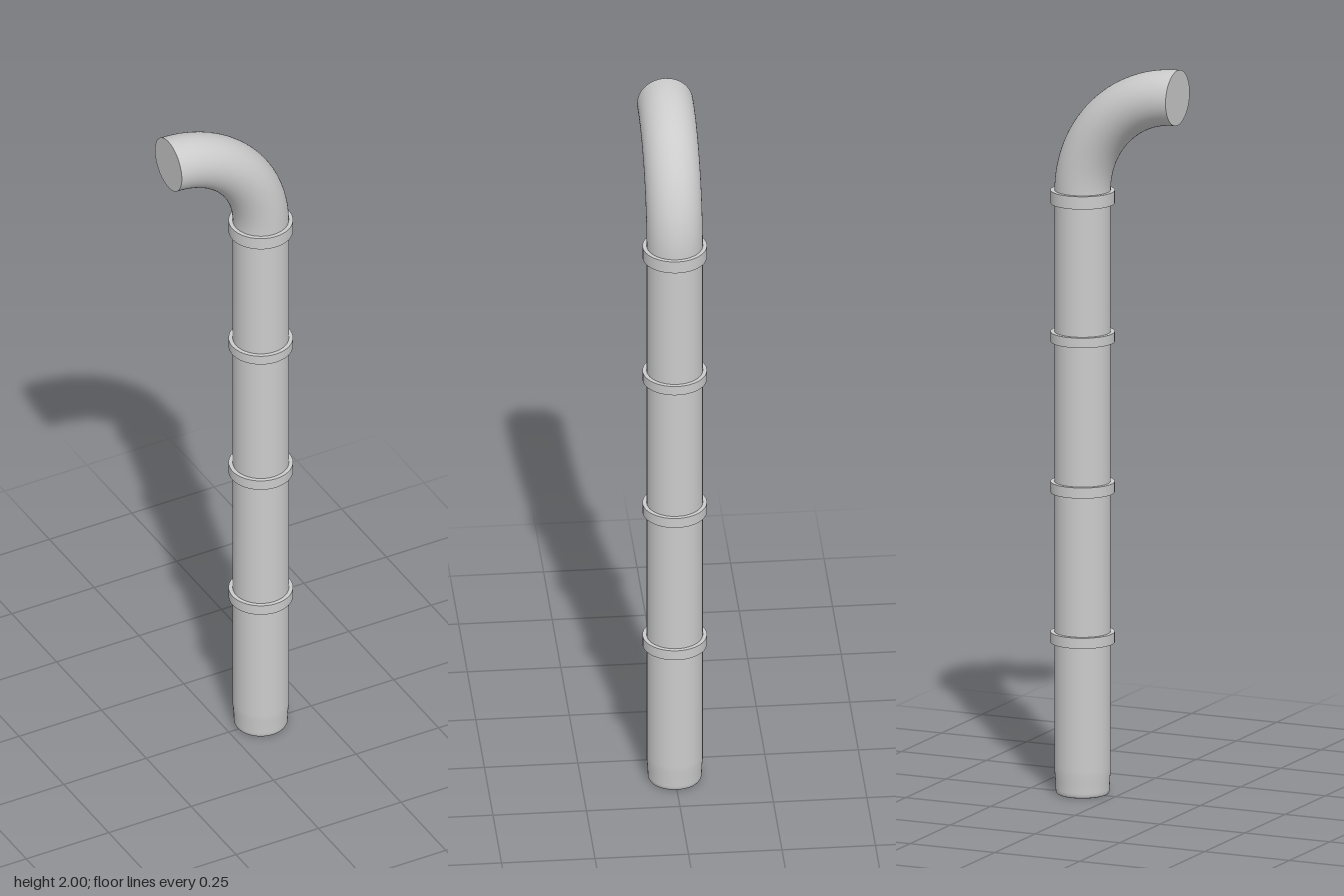
import * as THREE from 'three';

const PIPE_X = 0.097;   // axis of the upright pipe
const PIPE_R = 0.075;
const RING_R = 0.086;
const BEND_Y = 1.645;   // where the elbow starts
const BEND_R = 0.28;
const SIDES = 48;

// Quarter circle from the top of the upright pipe to the open side
class ElbowCurve extends THREE.Curve {
  getPoint(t, target = new THREE.Vector3()) {
    const a = t * Math.PI / 2;
    return target.set(PIPE_X - BEND_R + BEND_R * Math.cos(a), BEND_Y + BEND_R * Math.sin(a), 0);
  }
}

export function createModel() {
  const group = new THREE.Group();
  const material = new THREE.MeshStandardMaterial({ color: 0xcccccc });
  const add = (name, geometry, x, y) => {
    const mesh = new THREE.Mesh(geometry, material);
    mesh.name = name;
    mesh.position.set(x, y, 0);
    group.add(mesh);
    return mesh;
  };
  const lathe = (points) =>
    new THREE.LatheGeometry(points.map(([r, y]) => new THREE.Vector2(r, y)), SIDES);

  // Upright pipe with a slightly tapered, softened foot
  add('uprightPipe', lathe([
    [0, 0], [0.064, 0], [0.069, 0.002], [0.0715, 0.007], [0.072, 0.014],
    [0.073, 0.04], [PIPE_R, 0.06], [PIPE_R, 0.075], [PIPE_R, BEND_Y],
  ]), PIPE_X, 0);

  // Elbow and the flat cap on its end
  add('elbow', new THREE.TubeGeometry(new ElbowCurve(), 40, PIPE_R, SIDES, false), 0, 0);
  const cap = add('elbowEndCap', new THREE.CircleGeometry(PIPE_R, SIDES), PIPE_X - BEND_R, BEND_Y + BEND_R);
  cap.rotation.y = -Math.PI / 2;

  // Joint rings: [centre height, thickness]
  for (const [y, h] of [[0.428, 0.029], [0.838, 0.029], [1.248, 0.027], [1.63, 0.035]]) {
    add('jointRing', new THREE.CylinderGeometry(RING_R, RING_R, h, SIDES), PIPE_X, y);
  }
  return group;
}
